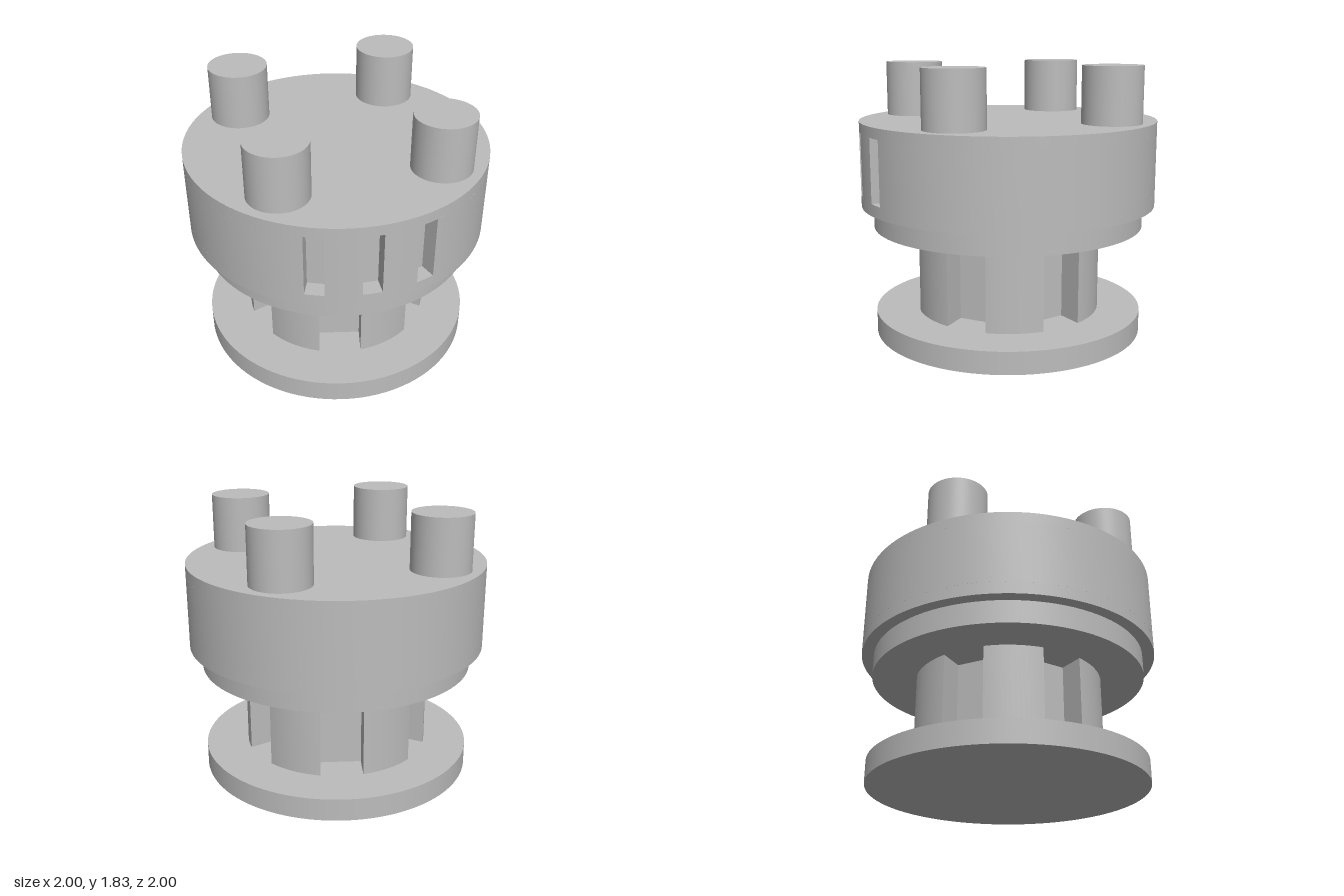
import * as THREE from 'three';
import { toCreasedNormals } from 'three/addons/utils/BufferGeometryUtils.js';

const DEG = Math.PI / 180;

// Disc from y0 to y1 with straight-sided notches cut into its rim.
// Angles run from +x towards +z and must be ascending; floor is the notch floor's distance from the axis.
function notchedDisc(radius, y0, y1, angles, halfWidth, floor) {
  const spread = Math.asin(halfWidth / radius);
  const shape = new THREE.Shape();
  angles.forEach((deg, i) => {
    const a = deg * DEG;
    const next = (i + 1 < angles.length ? angles[i + 1] : angles[0] + 360) * DEG;
    const c = Math.cos(a), s = Math.sin(a);
    const corner = (r, w) => [r * c - w * s, r * s + w * c];
    const rim = Math.sqrt(radius * radius - halfWidth * halfWidth);
    if (i === 0) shape.moveTo(...corner(rim, -halfWidth));
    shape.lineTo(...corner(floor, -halfWidth));
    shape.lineTo(...corner(floor, halfWidth));
    shape.lineTo(...corner(rim, halfWidth));
    // Rim arc in short steps up to the next notch
    const from = a + spread, to = next - spread;
    const steps = Math.ceil((to - from) / (3 * DEG));
    for (let k = 1; k <= steps; k++) {
      if (k === steps && i === angles.length - 1) break; // outline closes itself
      const t = from + (to - from) * k / steps;
      shape.lineTo(radius * Math.cos(t), radius * Math.sin(t));
    }
  });
  const geometry = new THREE.ExtrudeGeometry(shape, { depth: y1 - y0, bevelEnabled: false });
  geometry.rotateX(Math.PI / 2).translate(0, y1, 0);
  return toCreasedNormals(geometry, 0.5);
}

export function createModel() {
  const model = new THREE.Group();
  const grey = new THREE.MeshStandardMaterial({ color: 0xbcbcbc });
  grey.name = 'grey';

  const add = (name, geometry) => {
    const mesh = new THREE.Mesh(geometry, grey);
    mesh.name = name;
    model.add(mesh);
    return mesh;
  };
  const disc = (name, radius, y0, y1, x = 0, z = 0) =>
    add(name, new THREE.CylinderGeometry(radius, radius, y1 - y0, 96)
      .translate(x, (y0 + y1) / 2, z));

  // Foot plate and the column with six grooves
  disc('footPlate', 0.92, 0, 0.15);
  add('groovedColumn', notchedDisc(0.63, 0.15, 0.74, [0, 60, 120, 180, 240, 300], 0.14, 0.437));

  // Collar and head, with three windows sunk into the head's rim
  disc('collar', 0.92, 0.74, 0.89);
  disc('headLower', 1, 0.89, 0.97);
  add('headWindowBand', notchedDisc(1, 0.97, 1.39, [30, 50, 70], 0.061, 0.89));
  disc('headUpper', 1, 1.39, 1.46);

  // Four pegs on top
  for (let i = 0; i < 4; i++) {
    const a = i * Math.PI / 2;
    disc('peg' + (i + 1), 0.197, 1.46, 1.83, 0.74 * Math.cos(a), 0.74 * Math.sin(a));
  }
  return model;
}
